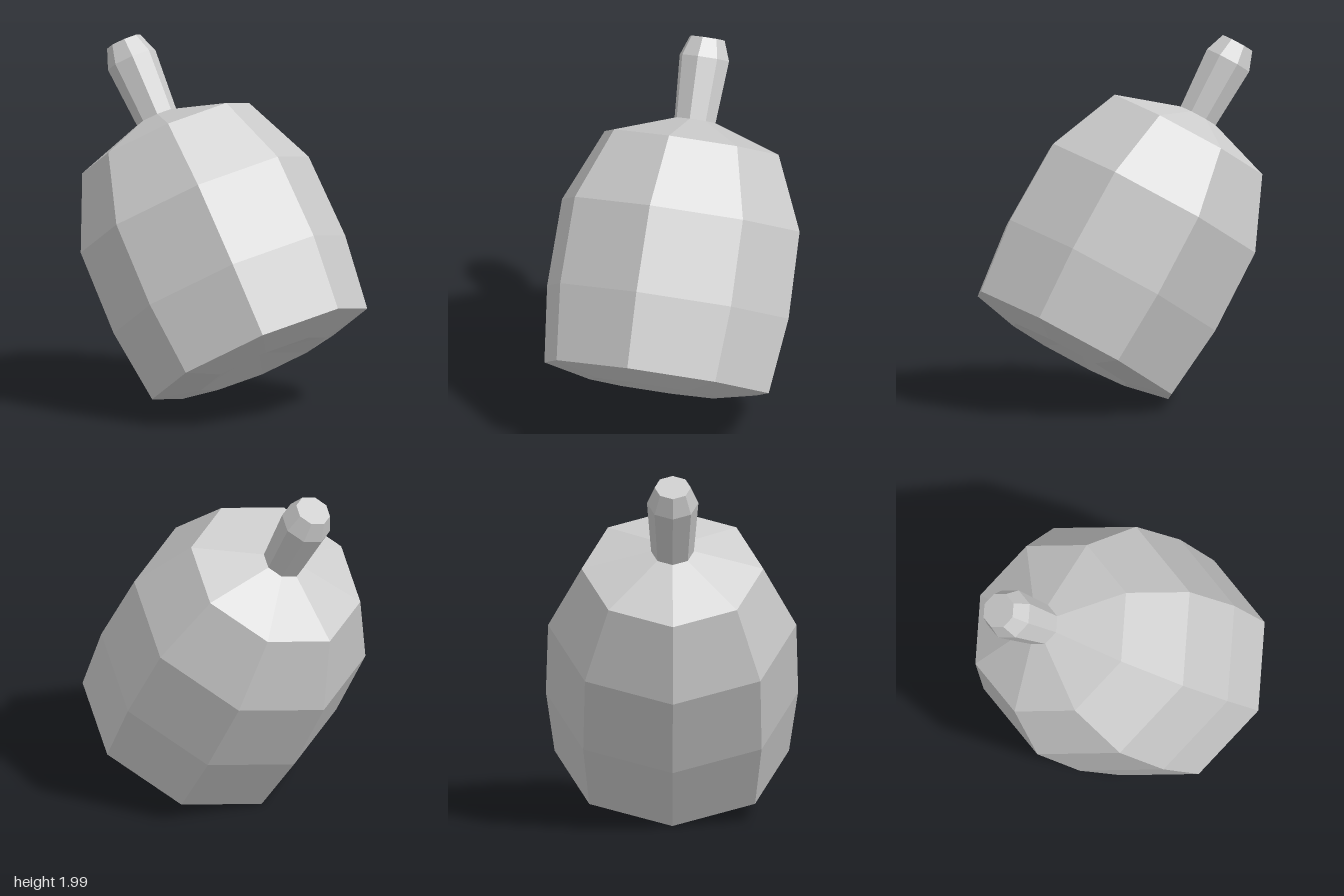
import * as THREE from 'three';

const SIDES = 8;

// Faceted solid of revolution from [radius, height] pairs, listed bottom to top
function turned(name, profile, material) {
  const points = profile.map(([r, h]) => new THREE.Vector2(r, h));
  const mesh = new THREE.Mesh(new THREE.LatheGeometry(points, SIDES), material);
  mesh.name = name;
  return mesh;
}

export function createModel() {
  const group = new THREE.Group();
  group.name = 'tiltedBarrelWithStem';
  const material = new THREE.MeshStandardMaterial({ color: 0xcccccc, flatShading: true });

  // Dented underside, bulging staves and shallow conical shoulder
  const body = turned('body', [
    [0, 0.01], [0.372, -0.058], [0.641, 0], [0.69, 0.419],
    [0.679, 0.899], [0.497, 1.3], [0.117, 1.425],
  ], material);

  // Flared stem with a chamfered, flat end
  const stem = turned('stem', [
    [0.117, 1.425], [0.141, 1.77], [0.099, 1.88], [0, 1.88],
  ], material);

  // Both parts share one axis that leans backwards
  const tilted = new THREE.Group();
  tilted.name = 'leaningAxis';
  tilted.add(body, stem);
  tilted.position.set(0, 0.33, 0.27);
  tilted.rotation.x = -0.535;
  group.add(tilted);
  return group;
}
